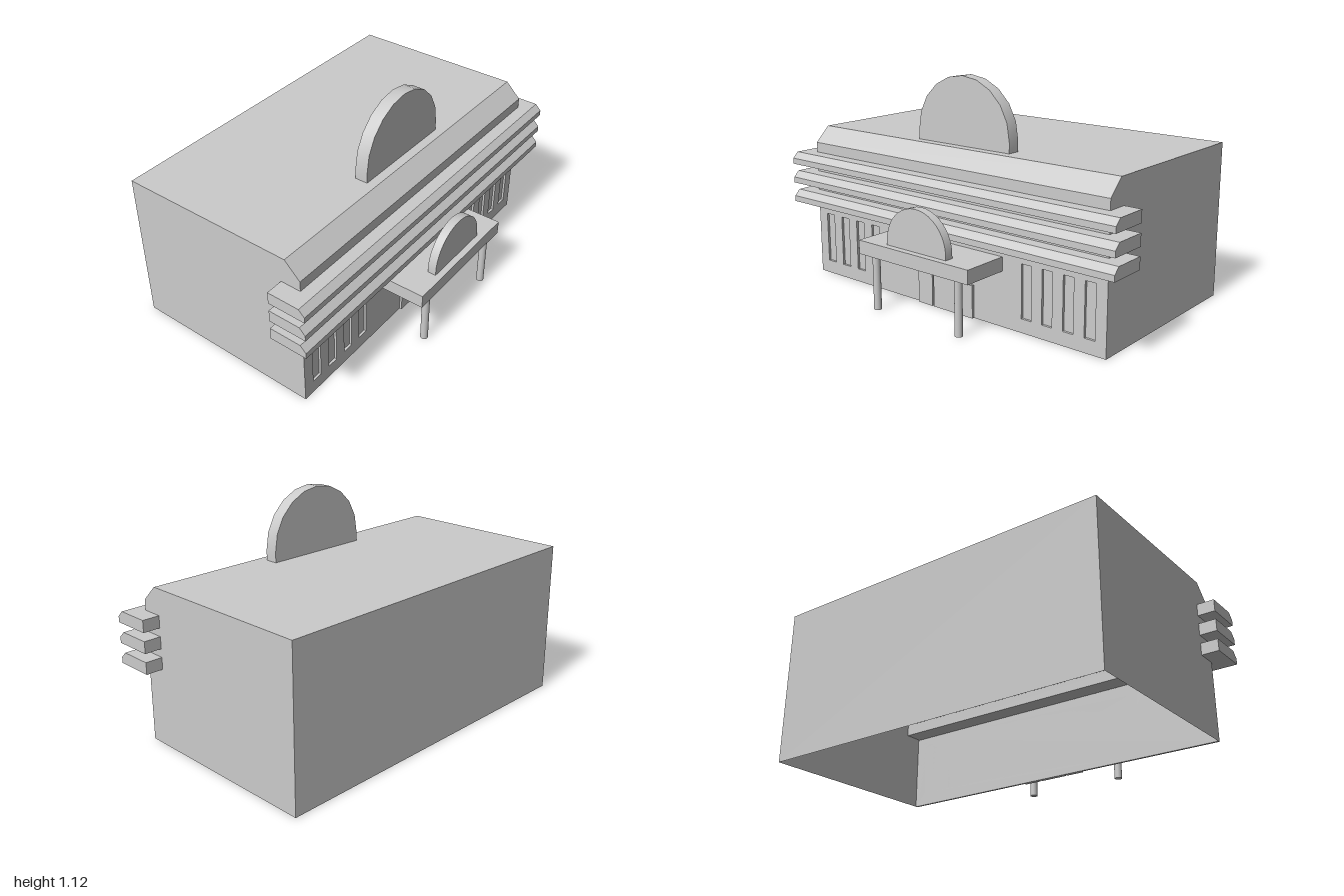
import * as THREE from 'three';
import { toCreasedNormals } from 'three/addons/utils/BufferGeometryUtils.js';

const material = new THREE.MeshStandardMaterial({ color: 0xcccccc, side: THREE.DoubleSide });
const FRONT = 0.378; // x of the facade, which faces +x
const HALF = 0.913;  // half the building's width along z

function add(parent, name, geometry) {
  const mesh = new THREE.Mesh(geometry, material);
  mesh.name = name;
  parent.add(mesh);
  return mesh;
}

function box(parent, name, x0, x1, y0, y1, z0, z1) {
  const mesh = add(parent, name, new THREE.BoxGeometry(x1 - x0, y1 - y0, z1 - z0));
  mesh.position.set((x0 + x1) / 2, (y0 + y1) / 2, (z0 + z1) / 2);
  return mesh;
}

function outline(points) {
  return new THREE.Shape(points.map(([x, y]) => new THREE.Vector2(x, y)));
}

// An x-y profile run along z, centred on z = 0
function profileAlongZ(points, halfLength) {
  return new THREE.ExtrudeGeometry(outline(points), { depth: 2 * halfLength, bevelEnabled: false })
    .translate(0, 0, -halfLength);
}

// An open x-y line swept along z into flat sheets
function sheetAlongZ(points, h) {
  const positions = [];
  for (let i = 0; i < points.length - 1; i++) {
    const a = points[i], b = points[i + 1];
    positions.push(...a, h, ...a, -h, ...b, -h, ...a, h, ...b, -h, ...b, h);
  }
  const geometry = new THREE.BufferGeometry();
  geometry.setAttribute('position', new THREE.Float32BufferAttribute(positions, 3));
  geometry.computeVertexNormals();
  return geometry;
}

// A shape drawn in (-z, y) and thickened along x
function panelAlongX(shape, x0, x1) {
  return new THREE.ExtrudeGeometry(shape, { depth: x1 - x0, bevelEnabled: false })
    .rotateY(Math.PI / 2).translate(x0, 0, 0);
}

function rectangle(path, u0, u1, y0, y1) {
  path.moveTo(u0, y0).lineTo(u1, y0).lineTo(u1, y1).lineTo(u0, y1).closePath();
  return path;
}

// Round-topped upright plate standing on a flat base
function archPlate(x0, x1, base, top, radius, segments) {
  const points = [[-radius, base], [radius, base]];
  for (let i = 0; i <= segments; i++) {
    const a = (Math.PI * i) / segments;
    points.push([radius * Math.cos(a), top - radius + radius * Math.sin(a)]);
  }
  return toCreasedNormals(panelAlongX(outline(points), x0, x1), 0.5);
}

export function createModel() {
  const model = new THREE.Group();
  model.name = 'building';

  // Hollow main block, open underneath, with a chamfered front eave
  const recess = FRONT - 0.012;
  const section = [
    [recess, 0], [recess, 0.39], [FRONT, 0.39],
    [FRONT, 0.709], [0.298, 0.787], [-0.618, 0.787], [-0.618, 0],
  ];
  add(model, 'wallsAndRoof', sheetAlongZ(section, HALF));
  const endWall = new THREE.ShapeGeometry(outline(section));
  add(model, 'leftEndWall', endWall).position.z = HALF;
  const otherEnd = add(model, 'rightEndWall', endWall.clone().scale(-1, 1, 1));
  otherEnd.rotation.y = Math.PI;
  otherEnd.position.z = -HALF;

  // Front wall pierced by four narrow windows on each side
  const wall = rectangle(new THREE.Shape(), -HALF, HALF, 0, 0.39);
  for (const side of [-1, 1]) {
    for (let i = 0; i < 4; i++) {
      const u = side * (0.485 + i * 0.114);
      wall.holes.push(rectangle(new THREE.Path(), u - 0.028, u + 0.028, 0.068, 0.33));
    }
  }
  add(model, 'windowWall', panelAlongX(wall, recess, FRONT));

  // Three horizontal fins wrapping the front corners
  for (let i = 0; i < 3; i++) {
    const y = 0.393 + i * 0.102;
    add(model, 'facadeFin', profileAlongZ([
      [0.273, y], [0.47, y], [0.47, y + 0.03], [0.44, y + 0.06], [0.273, y + 0.06],
    ], 1));
  }

  // Roof arch
  add(model, 'roofArch', archPlate(0.185, 0.251, 0.787, 1.123, 0.283, 10));

  // Entrance: canopy, arch, columns and doors
  const entrance = new THREE.Group();
  entrance.name = 'entrance';
  model.add(entrance);
  box(entrance, 'canopy', FRONT, 0.617, 0.271, 0.34, -0.346, 0.346);
  add(entrance, 'canopyArch', archPlate(0.54, 0.584, 0.34, 0.547, 0.187, 20));
  box(entrance, 'mainDoor', FRONT, 0.39, 0, 0.218, -0.073, 0.073);
  for (const side of [-1, 1]) {
    const column = add(entrance, 'column', new THREE.CylinderGeometry(0.019, 0.019, 0.271, 20));
    column.position.set(0.585, 0.1355, side * 0.262);
    const door = box(entrance, 'sideDoor', FRONT, 0.39, 0, 0.164, -0.046, 0.046);
    door.position.z = side * 0.128;
  }
  return model;
}
